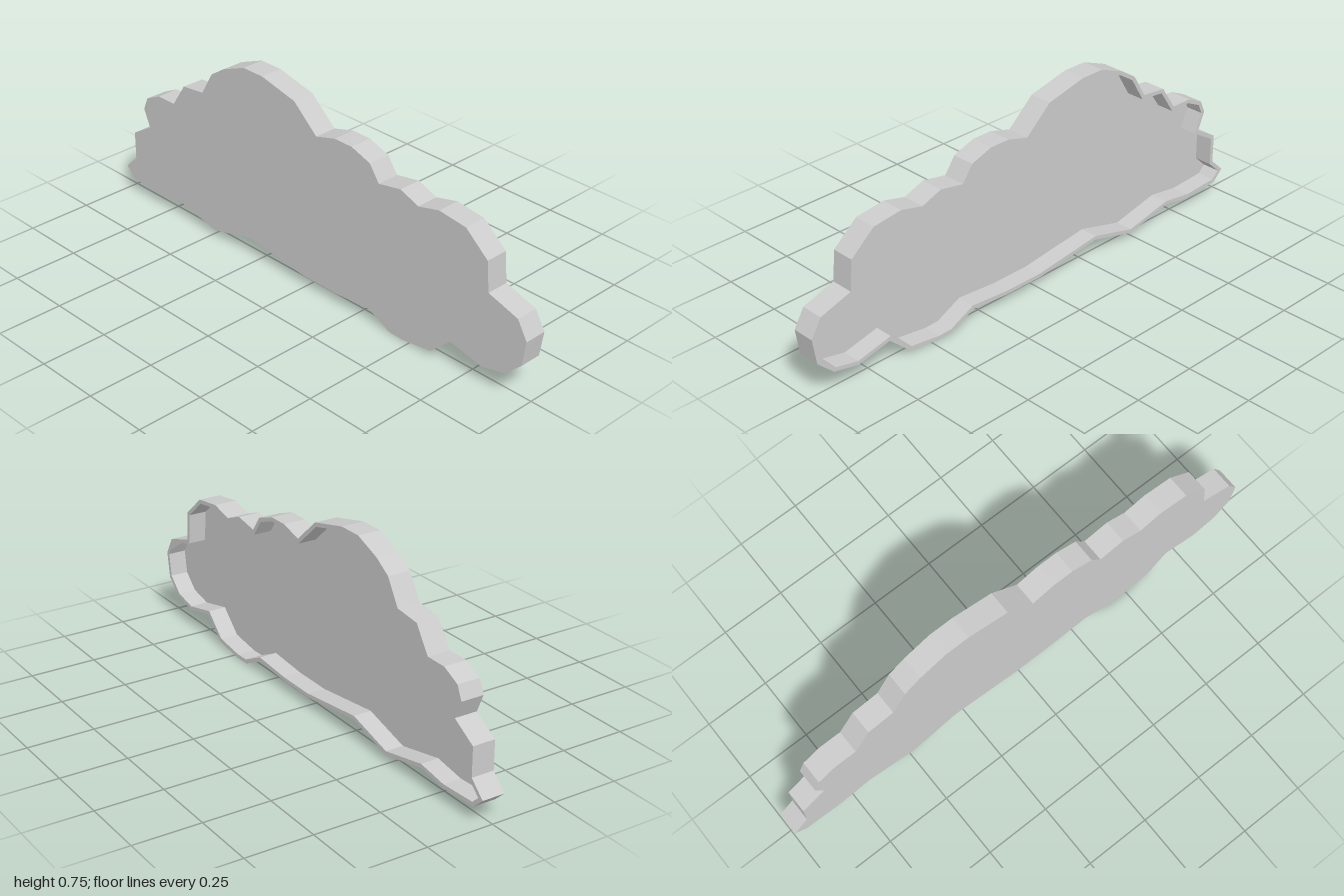
import * as THREE from 'three';

const HALF = 0.043;   // half of the tray's thickness
const WALL = 0.015;   // rim thickness
const FLOOR = 0.017;  // floor thickness

// Cloud outline as [z, y], clockwise seen from +x, starting at the front tip
const OUTLINE = [
  [1, 0.247], [0.96, 0.315], [0.835, 0.354], [0.825, 0.468], [0.73, 0.548], [0.615, 0.562],
  [0.525, 0.54], [0.445, 0.57], [0.347, 0.552], [0.305, 0.611], [0.22, 0.64], [0.14, 0.64],
  [0.052, 0.615], [-0.055, 0.709], [-0.215, 0.746], [-0.31, 0.746], [-0.415, 0.705],
  [-0.48, 0.663], [-0.535, 0.572], [-0.638, 0.56], [-0.7, 0.468], [-0.785, 0.468],
  [-0.855, 0.435], [-0.877, 0.385], [-0.847, 0.316], [-0.942, 0.26], [-0.942, 0.15],
  [-1, 0.096], [-0.955, 0.054], [-0.8, 0.046], [-0.68, 0.064], [-0.485, 0.022],
  [-0.295, 0.072], [-0.01, 0.037], [0.15, 0.037], [0.31, 0.05], [0.41, 0.002], [0.47, 0],
  [0.6, 0.018], [0.685, 0.097], [0.82, 0.067], [0.92, 0.089], [0.985, 0.15],
].map(([z, y]) => new THREE.Vector2(-z, y));

// Moves every edge of a clockwise outline inwards by d, with mitred corners
function inset(points, d) {
  const n = points.length;
  const normal = (a, b) => new THREE.Vector2(b.y - a.y, a.x - b.x).normalize();
  return points.map((p, i) => {
    const n1 = normal(points[(i + n - 1) % n], p);
    const n2 = normal(p, points[(i + 1) % n]);
    return p.clone().addScaledVector(n1.clone().add(n2), d / (1 + n1.dot(n2)));
  });
}

// Extrudes a shape along +x, starting at the back of the tray
function slab(name, shape, depth, material) {
  const geometry = new THREE.ExtrudeGeometry(shape, { depth, bevelEnabled: false });
  geometry.rotateY(Math.PI / 2).translate(-HALF, 0, 0);
  const mesh = new THREE.Mesh(geometry, material);
  mesh.name = name;
  return mesh;
}

export function createModel() {
  const material = new THREE.MeshStandardMaterial({ color: 0xcccccc, flatShading: true });
  const inner = inset(OUTLINE, WALL);

  // Raised wall following the cloud outline; the hole winds the other way
  const ring = new THREE.Shape(OUTLINE);
  ring.holes.push(new THREE.Path([...inner].reverse()));

  const group = new THREE.Group();
  group.name = 'cloudTray';
  group.add(slab('rim', ring, HALF * 2, material));
  // Thin floor closing the -x side
  group.add(slab('floor', new THREE.Shape(inner), FLOOR, material));
  return group;
}
